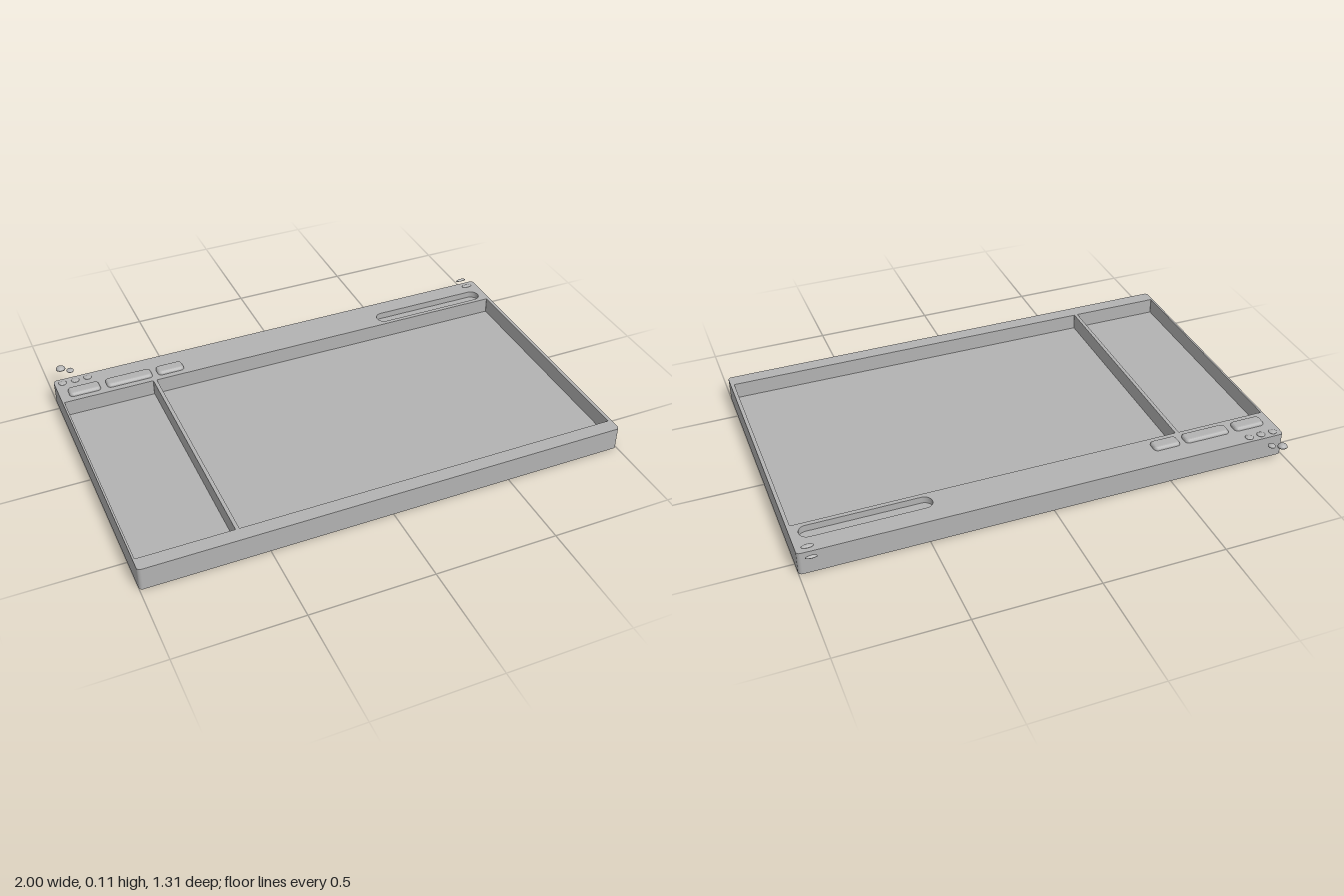
import * as THREE from 'three';

const HEIGHT = 0.098, FLOOR = 0.03, SLOT_FLOOR = 0.07;

// Rounded rectangle in plan; shape y is -z
function roundedRect(x0, x1, z0, z1, r, Type = THREE.Shape) {
  const s = new Type(), b = -z1, t = -z0, q = Math.PI / 2;
  s.moveTo(x0 + r, b);
  s.lineTo(x1 - r, b);
  s.absarc(x1 - r, b + r, r, -q, 0, false);
  s.lineTo(x1, t - r);
  s.absarc(x1 - r, t - r, r, 0, q, false);
  s.lineTo(x0 + r, t);
  s.absarc(x0 + r, t - r, r, q, 2 * q, false);
  s.lineTo(x0, b + r);
  s.absarc(x0 + r, b + r, r, 2 * q, 3 * q, false);
  return s;
}

// Upright extrusion between two heights
function slab(shape, y0, y1, options = {}) {
  const g = new THREE.ExtrudeGeometry(shape, { depth: y1 - y0, bevelEnabled: false, curveSegments: 10, ...options });
  return g.rotateX(-Math.PI / 2).translate(0, y0, 0);
}

export function createModel() {
  const model = new THREE.Group();
  const grey = new THREE.MeshStandardMaterial({ color: 0xb3b3b3 });
  grey.name = 'plain grey';

  const add = (name, geometry) => {
    const mesh = new THREE.Mesh(geometry, grey);
    mesh.name = name;
    model.add(mesh);
    return mesh;
  };

  // Solid bottom and the walls around two pockets and a slot
  const outline = () => roundedRect(-1, 1, -0.563, 0.653, 0.015);
  const pockets = [[-0.992, -0.612, -0.4, 0.593, 0.003], [-0.597, 0.985, -0.4, 0.593, 0.003]];
  const slot = [0.452, 0.965, -0.484, -0.418, 0.0325];
  add('trayBottom', slab(outline(), 0, FLOOR));
  const frame = outline();
  [...pockets, slot].forEach((p) => frame.holes.push(roundedRect(...p, THREE.Path)));
  add('trayFrame', slab(frame, FLOOR, HEIGHT));
  add('slotFloor', slab(roundedRect(...slot), FLOOR, SLOT_FLOOR));

  // Bevelled bars beside the slot
  const bevel = 0.013;
  [[-0.96, -0.828], [-0.8, -0.604], [-0.58, -0.465]].forEach(([x0, x1]) => {
    const shape = roundedRect(x0 + bevel, x1 - bevel, -0.483 + bevel, -0.425 - bevel, 0.004);
    add('raisedBar', slab(shape, HEIGHT - 0.008, HEIGHT + 0.001,
      { bevelEnabled: true, bevelThickness: bevel, bevelSize: bevel, bevelSegments: 4 }));
  });

  // Low domes with closed undersides
  const profile = [new THREE.Vector2(0, 0)];
  for (let i = 0; i <= 8; i++) {
    const a = (i / 8) * Math.PI / 2;
    profile.push(new THREE.Vector2(i === 8 ? 0 : Math.cos(a), Math.sin(a)));
  }
  const domeGeometry = new THREE.LatheGeometry(profile, 24);
  const dome = (name, x, y, z, rx, h, rz) => {
    const mesh = add(name, domeGeometry);
    mesh.position.set(x, y, z);
    mesh.scale.set(rx, h, rz);
  };
  [-0.966, -0.912, -0.859].forEach((x) => dome('cornerStud', x, HEIGHT, -0.535, 0.017, 0.006, 0.017));
  dome('ovalStud', 0.953, HEIGHT, -0.533, 0.024, 0.007, 0.011);

  // Loose pieces just behind the tray
  dome('looseDome', -0.949, HEIGHT, -0.637, 0.02, 0.015, 0.019);
  dome('looseDisc', -0.914, 0.095, -0.615, 0.015, 0.009, 0.017);
  dome('looseOval', 0.953, 0.095, -0.592, 0.023, 0.008, 0.008);

  return model;
}
